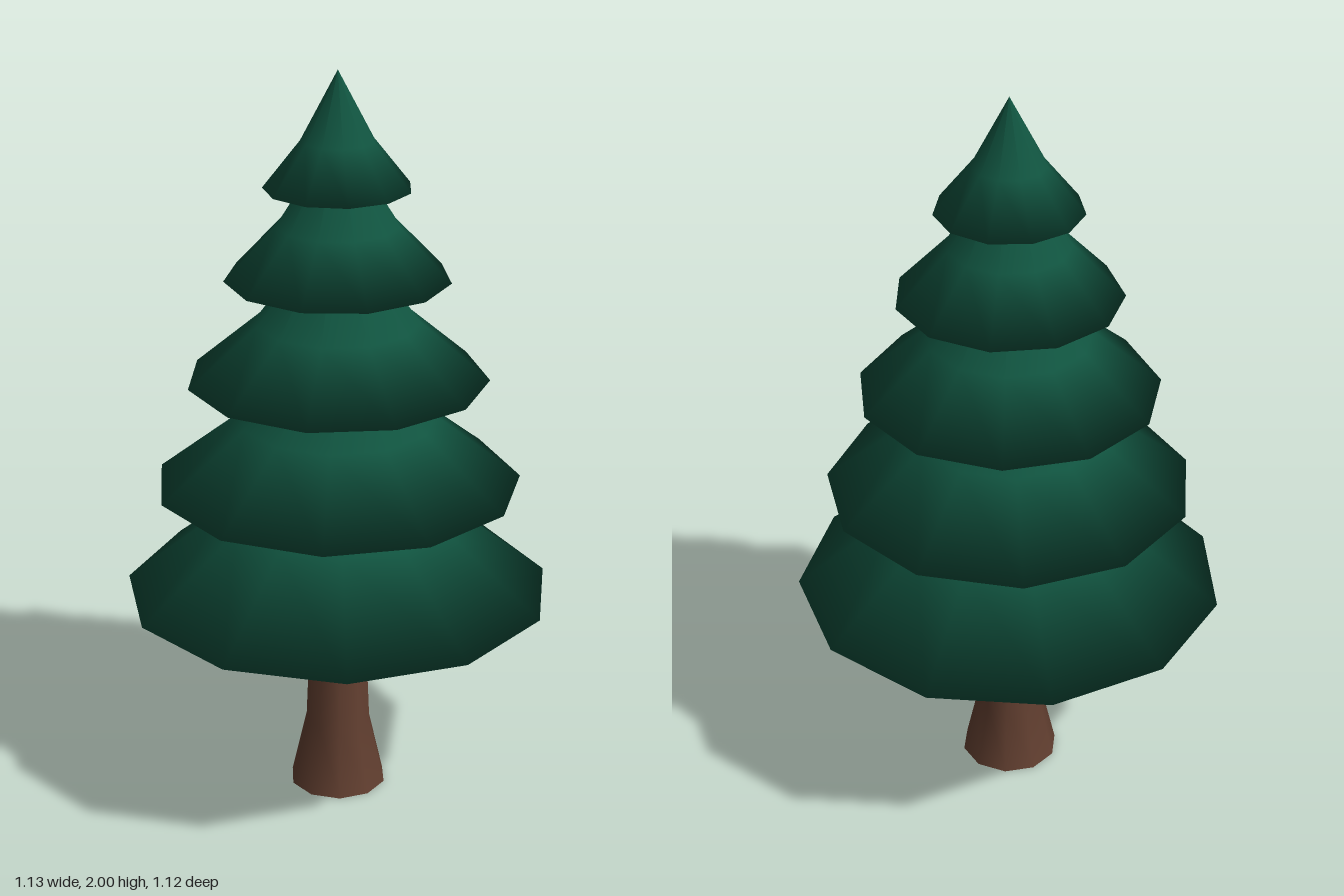
import * as THREE from 'three';

const needleGreen = new THREE.MeshStandardMaterial({ color: 0x10533f });
needleGreen.name = 'needle green';
const barkBrown = new THREE.MeshStandardMaterial({ color: 0x623f30 });
barkBrown.name = 'bark brown';

// Smooth low-sided turned shape; the profile runs from bottom to top as [radius, y]
function turned(name, profile, sides, phase, material) {
  const points = profile.map(([r, y]) => new THREE.Vector2(r, y));
  const mesh = new THREE.Mesh(new THREE.LatheGeometry(points, sides, phase), material);
  mesh.name = name;
  return mesh;
}

export function createModel() {
  const tree = new THREE.Group();
  tree.name = 'pineTree';

  // Trunk with a flared foot and a flat base
  const trunk = new THREE.Group();
  trunk.name = 'trunk';
  trunk.position.z = -0.008;
  trunk.add(turned('trunkBark', [[0.132, 0], [0.09, 0.185], [0.072, 0.6]], 10, 0, barkBrown));
  const base = new THREE.Mesh(new THREE.CircleGeometry(0.132, 10, Math.PI / 2), barkBrown);
  base.name = 'trunkBase';
  base.rotation.x = Math.PI / 2;
  trunk.add(base);
  tree.add(trunk);

  // Branch tiers: shallow cone underside, wide rim, bend, pointed top
  const tiers = [
    { under: 0.545, rim: [0.572, 0.585], bend: [0.30, 0.80], tip: 1.12 },
    { under: 0.865, rim: [0.487, 0.893], bend: [0.26, 1.07], tip: 1.38 },
    { under: 1.16, rim: [0.397, 1.184], bend: [0.215, 1.34], tip: 1.63 },
    { under: 1.435, rim: [0.295, 1.458], bend: [0.16, 1.60], tip: 1.85 },
    { under: 1.675, rim: [0.192, 1.697], bend: [0.095, 1.82], tip: 2 },
  ];
  tiers.forEach(({ under, rim, bend, tip }, i) => {
    // Each tier is turned a little further than the one below
    const phase = THREE.MathUtils.degToRad(-6.75 * i);
    const tier = turned(`branchTier${i + 1}`, [[0, under], rim, bend, [0, tip]], 11, phase, needleGreen);
    tier.position.z = -0.012;
    tree.add(tier);
  });

  return tree;
}
